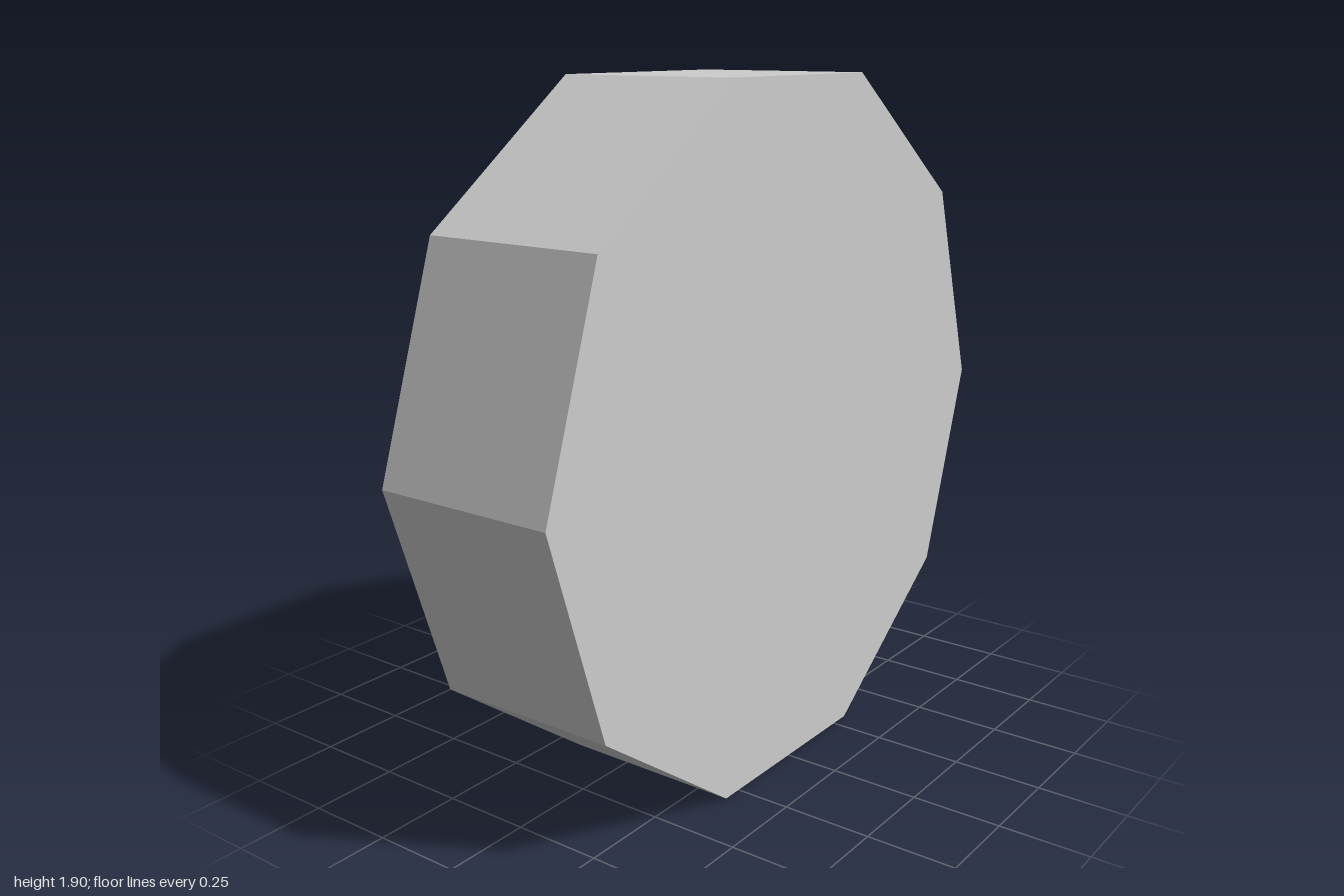
import * as THREE from 'three';

const SIDES = 10;

export function createModel() {
  const grey = new THREE.MeshStandardMaterial({ color: 0xcccccc, flatShading: true });
  grey.name = 'light grey';

  const model = new THREE.Group();
  model.name = 'wheel';

  // Ten-sided turned part; each profile point is [radius, distance towards -x]
  function turned(name, profile) {
    const points = profile.map(([r, d]) => new THREE.Vector2(r, d));
    const geometry = new THREE.LatheGeometry(points, SIDES);
    geometry.rotateZ(Math.PI / 2);
    const mesh = new THREE.Mesh(geometry, grey);
    mesh.name = name;
    mesh.position.y = Math.cos(Math.PI / SIDES);
    model.add(mesh);
  }

  // Tyre: flat inner face, straight tread, bevelled outer shoulder and flat side
  turned('tyre', [[0, -0.345], [1, -0.345], [1, 0.177], [0.812, 0.287], [0, 0.287]]);

  // Raised hub cap on the outer side
  turned('hubCap', [[0.48, 0.287], [0.48, 0.345], [0, 0.345]]);

  return model;
}
